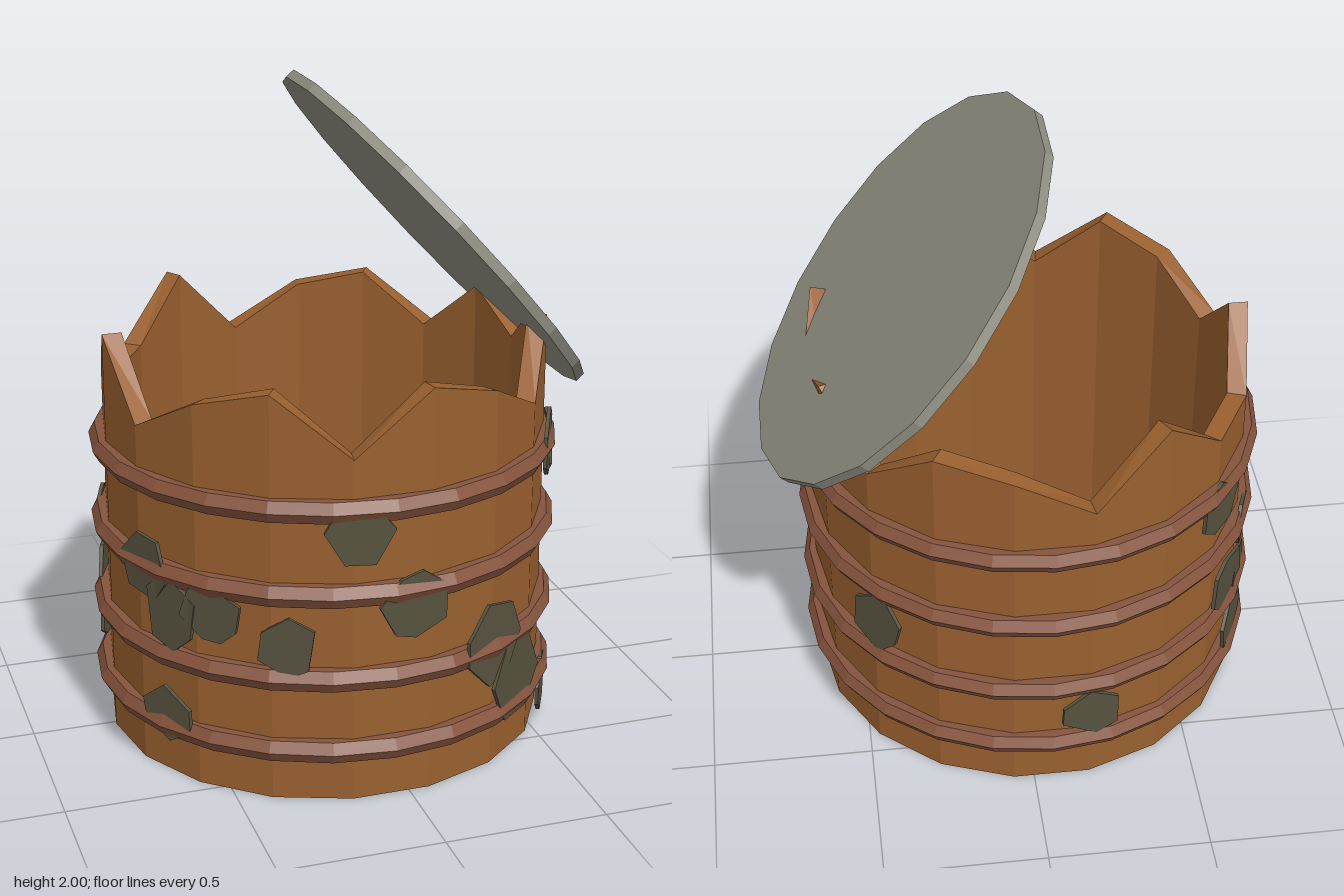
import * as THREE from 'three';

const SIDES = 18, OUTER = 0.685, INNER = 0.625;

// Heights of the broken rim, one per stave edge, from +x round towards +z
const RIM = [1.155, 1.295, 1.09, 1.2, 1.26, 1.07, 1.26, 1.2, 1.08,
  1.29, 1.11, 1.11, 1.29, 1.07, 1.2, 1.245, 1.09, 1.265];

// Patches: angle in degrees from +x towards +z, height, width, tallness
const PATCHES = [
  [99, 0.85, 0.2, 0.18], [116, 0.5, 0.18, 0.17], [85, 0.61, 0.22, 0.19],
  [61, 0.42, 0.24, 0.25], [51, 0.27, 0.25, 0.28], [28, 0.11, 0.18, 0.18],
  [27, 0.91, 0.2, 0.19], [17, 0.88, 0.2, 0.18], [-8, 0.94, 0.18, 0.16],
  [-42, 0.54, 0.18, 0.22], [260, 0.28, 0.19, 0.17], [221, 0.86, 0.19, 0.17],
  [200, 0.63, 0.18, 0.16], [213, 0.5, 0.22, 0.18], [202, 0.41, 0.17, 0.22],
  [206, 0.25, 0.18, 0.19], [135, 0.57, 0.2, 0.17], [147, 0.54, 0.18, 0.22],
  [156, 0.66, 0.2, 0.18], [149, 0.2, 0.18, 0.17]
];

const paint = (color) => new THREE.MeshStandardMaterial({ color, flatShading: true });

function part(name, geometry, material) {
  const mesh = new THREE.Mesh(geometry, material);
  mesh.name = name;
  return mesh;
}

// Thick staved wall: a rectangular section swept round, its top following RIM
function wallGeometry() {
  const section = (k) => {
    const a = (k % SIDES) * 2 * Math.PI / SIDES, h = RIM[k % SIDES];
    return [[OUTER, 0], [OUTER, h], [INNER, h], [INNER, 0]]
      .map(([r, y]) => [r * Math.cos(a), y, r * Math.sin(a)]);
  };
  const pos = [];
  for (let k = 0; k < SIDES; k++) {
    const a = section(k), b = section(k + 1);
    for (let i = 0; i < 4; i++) {
      const j = (i + 1) % 4;
      pos.push(...b[i], ...a[i], ...a[j], ...b[i], ...a[j], ...b[j]);
    }
  }
  const geometry = new THREE.BufferGeometry();
  geometry.setAttribute('position', new THREE.Float32BufferAttribute(pos, 3));
  geometry.computeVertexNormals();
  return geometry;
}

// Irregular thin plate with six or seven corners
function patchGeometry(width, height, random) {
  const n = 6 + Math.floor(random() * 2), points = [];
  const turn = random() * Math.PI;
  for (let i = 0; i < n; i++) {
    const a = turn + (i + 0.5 * random()) * 2 * Math.PI / n;
    const r = 0.48 + 0.12 * random();
    points.push(new THREE.Vector2(Math.cos(a) * r * width, Math.sin(a) * r * height));
  }
  return new THREE.ExtrudeGeometry(new THREE.Shape(points), { depth: 0.012, bevelEnabled: false });
}

export function createModel() {
  const model = new THREE.Group();
  model.name = 'brokenBarrel';
  const wood = paint(0x99602f), hoopPaint = paint(0x85533c);
  const patchPaint = paint(0x57523f), floorPaint = paint(0x4c5750), lidPaint = paint(0x8f8f82);

  const barrel = new THREE.Group();
  barrel.name = 'barrel';
  barrel.position.set(-0.055, 0, 0.012);
  model.add(barrel);

  barrel.add(part('wall', wallGeometry(), wood));

  // Bottom disc inside the wall
  const floor = part('floor', new THREE.CylinderGeometry(INNER, INNER, 0.04, SIDES), floorPaint);
  floor.rotation.y = Math.PI / 2;
  floor.position.y = 0.03;
  barrel.add(floor);

  // Four hoops
  for (const y of [0.165, 0.395, 0.66, 0.92]) {
    const hoop = part('hoop', new THREE.TorusGeometry(0.687, 0.038, 6, 24), hoopPaint);
    hoop.rotation.x = Math.PI / 2;
    hoop.position.y = y;
    barrel.add(hoop);
  }

  // Plates scattered round the wall
  let seed = 7;
  const random = () => (seed = (seed * 16807) % 2147483647) / 2147483647;
  for (const [degrees, y, width, height] of PATCHES) {
    const a = THREE.MathUtils.degToRad(degrees);
    const patch = part('patch', patchGeometry(width, height, random), patchPaint);
    patch.position.set(0.694 * Math.cos(a), y, 0.694 * Math.sin(a));
    patch.rotation.y = Math.PI / 2 - a;
    barrel.add(patch);
  }

  // Tilted lid, pierced by the tallest staves
  const lid = part('lid', new THREE.CylinderGeometry(0.655, 0.655, 0.032, SIDES), lidPaint);
  lid.position.set(0.335, 1.506, -0.085);
  lid.rotation.z = -0.853;
  model.add(lid);

  return model;
}
